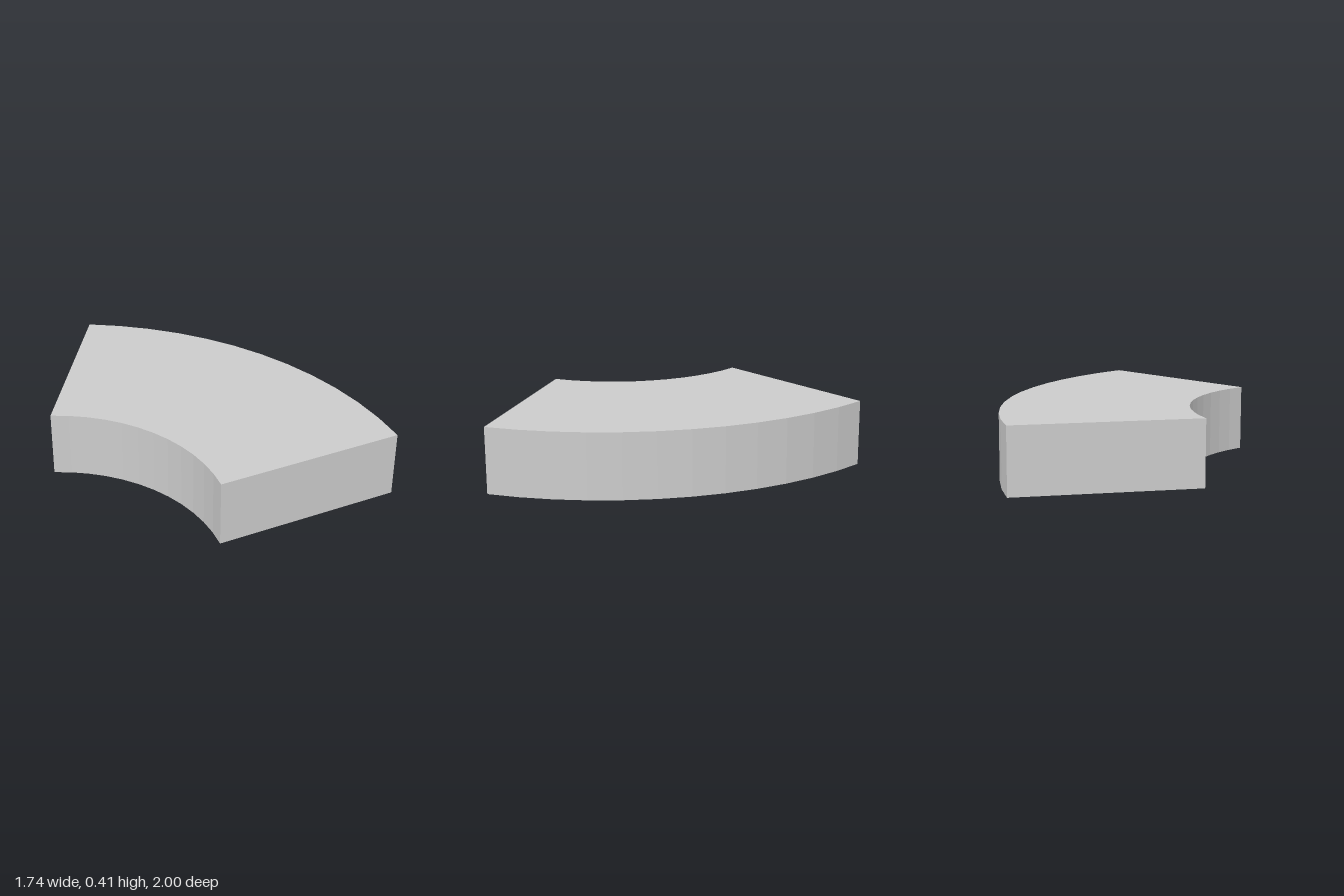
import * as THREE from 'three';

export function createModel() {
  const group = new THREE.Group();
  const rad = THREE.MathUtils.degToRad;
  const cx = -1.274, cy = -0.88; // shared centre of both arcs
  const height = 0.407;

  // Plan outline: outer arc out, inner arc back, straight cut ends between
  const outline = new THREE.Shape();
  outline.absarc(cx, cy, 2.142, rad(-3.21), rad(61.36), false);
  outline.absarc(cx, cy, 1.012, rad(66.4), rad(-6.81), true);
  outline.closePath();

  // Extrude upwards with faceted curved walls
  const geometry = new THREE.ExtrudeGeometry(outline, {
    depth: height, bevelEnabled: false, curveSegments: 6,
  });
  geometry.rotateX(-Math.PI / 2);

  const block = new THREE.Mesh(
    geometry,
    new THREE.MeshStandardMaterial({ color: 0xcccccc, flatShading: true }),
  );
  block.name = 'curvedBlock';
  group.add(block);
  return group;
}
